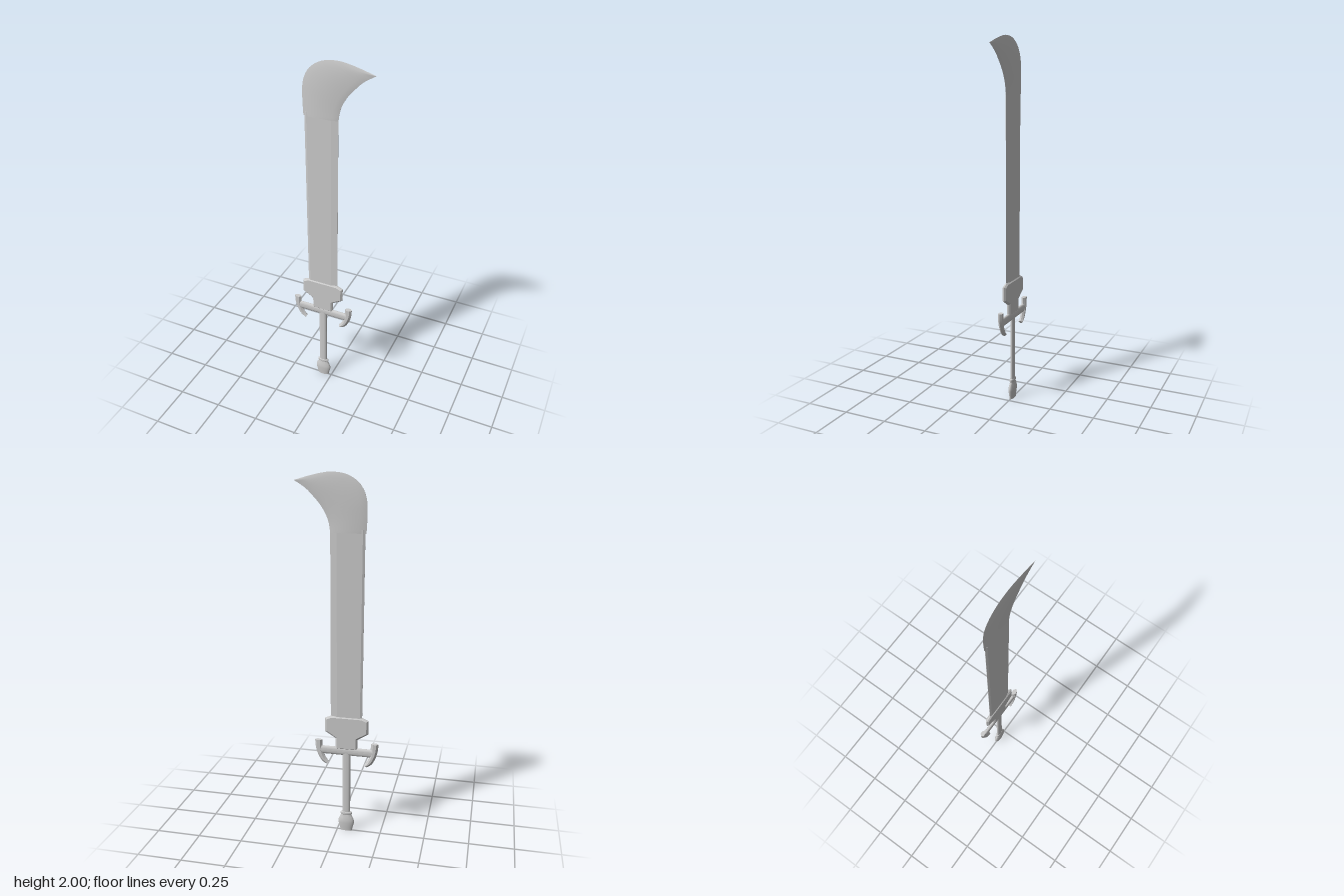
import * as THREE from 'three';
import { toCreasedNormals } from 'three/addons/utils/BufferGeometryUtils.js';

const CX = -0.052; // axis of the hilt
const steel = new THREE.MeshStandardMaterial({ color: 0xcccccc });

function add(parent, name, geometry, crease = 0.6) {
  const mesh = new THREE.Mesh(toCreasedNormals(geometry, crease), steel);
  mesh.name = name;
  parent.add(mesh);
  return mesh;
}

// Bevelled solid lofted upward; each row is [leftX, leftY, rightX, rightY, halfThickness].
// bevelL and bevelR are the widths of the sloping edges.
function loft(rows, bevelL, bevelR, edge = 0) {
  const pos = [], idx = [], n = 8;
  for (const [lx, ly, rx, ry, t] of rows) {
    const w = Math.hypot(rx - lx, ry - ly) || 1;
    const a = Math.min(bevelL / w, 0.4), b = 1 - Math.min(bevelR / w, 0.4), e = t * edge;
    for (const [k, z] of [[0, -e], [0, e], [a, t], [b, t], [1, e], [1, -e], [b, -t], [a, -t]])
      pos.push(lx + (rx - lx) * k, ly + (ry - ly) * k, z);
  }
  for (let r = 0; r < rows.length - 1; r++)
    for (let i = 0; i < n; i++) {
      const a = r * n + i, b = r * n + (i + 1) % n;
      idx.push(a, b, b + n, a, b + n, a + n);
    }
  const last = (rows.length - 1) * n;
  for (let i = 1; i < n - 1; i++) idx.push(0, i + 1, i, last, last + i, last + i + 1);
  const g = new THREE.BufferGeometry();
  g.setAttribute('position', new THREE.Float32BufferAttribute(pos, 3));
  g.setIndex(idx);
  g.computeVertexNormals();
  return g;
}

const curve = pts => new THREE.CatmullRomCurve3(pts.map(([x, y]) => new THREE.Vector3(x, y, 0)));

export function createModel() {
  const sword = new THREE.Group();
  sword.name = 'sword';

  // Long blade with a wide cutting bevel on the +x side
  add(sword, 'blade', loft([
    [-0.138, 0.6, 0.037, 0.6, 0.006],
    [-0.145, 1.72, 0.037, 1.72, 0.006],
  ], 0.012, 0.035, 0.15), 0.1);

  // Hooked end: sections swing between the outer and inner edge curves
  const outer = curve([[-0.15, 1.7], [-0.154, 1.79], [-0.148, 1.88], [-0.115, 1.945],
    [-0.05, 1.988], [0.035, 2.0], [0.125, 1.985], [0.225, 1.957]]);
  const inner = curve([[0.037, 1.7], [0.045, 1.75], [0.062, 1.795], [0.09, 1.84],
    [0.125, 1.88], [0.16, 1.915], [0.193, 1.938], [0.225, 1.957]]);
  const hook = [];
  for (let i = 0; i <= 28; i++) {
    const o = outer.getPoint(i / 28), n = inner.getPoint(i / 28);
    hook.push([o.x, o.y, n.x, n.y, 0.009 * Math.sqrt(1 - i / 28) + 0.0002]);
  }
  add(sword, 'bladeHook', loft(hook, 0.038, 0.03, 0.05), 0.5);

  // Bevelled collar with its neck, mirrored about the hilt axis
  const half = [[0.052, 0.513], [0.052, 0.575], [0.112, 0.612], [0.112, 0.68], [0.085, 0.692]];
  const outline = [...half.map(([x, y]) => [CX + x, y]),
    ...half.slice().reverse().map(([x, y]) => [CX - x, y])];
  const collar = new THREE.ExtrudeGeometry(
    new THREE.Shape(outline.map(p => new THREE.Vector2(...p))),
    { depth: 0.006, bevelEnabled: true, bevelThickness: 0.008, bevelSize: 0.009, bevelSegments: 1 });
  collar.translate(0, 0, -0.003);
  add(sword, 'collar', collar, 0.3);

  // Crossguard bar
  const bar = add(sword, 'crossguardBar', new THREE.CylinderGeometry(0.024, 0.024, 0.3, 16));
  bar.rotation.z = Math.PI / 2;
  bar.scale.z = 0.46;
  bar.position.set(CX, 0.494, 0);

  // Curved claws at both ends of the bar
  const far = curve([[0.113, 0.408], [0.14, 0.425], [0.163, 0.465], [0.176, 0.51], [0.179, 0.552]]);
  const near = curve([[0.102, 0.425], [0.118, 0.447], [0.131, 0.478], [0.138, 0.512], [0.139, 0.552]]);
  for (const side of [-1, 1]) {
    const rows = [];
    for (let i = 0; i <= 10; i++) {
      const f = far.getPoint(i / 10), n = near.getPoint(i / 10);
      const [l, r] = side < 0 ? [f, n] : [n, f];
      rows.push([CX + side * l.x, l.y, CX + side * r.x, r.y, 0.012]);
    }
    add(sword, side < 0 ? 'rightClaw' : 'leftClaw', loft(rows, 0.011, 0.011, 0.15), 0.4);
  }

  // Grip
  const grip = add(sword, 'grip', new THREE.CylinderGeometry(0.023, 0.023, 0.39, 16));
  grip.scale.z = 0.46;
  grip.position.set(CX, 0.29, 0);

  // Pommel with a small ring at its neck
  const profile = [[0, 0], [0.034, 0], [0.038, 0.02], [0.046, 0.05], [0.045, 0.065], [0.037, 0.085],
    [0.029, 0.1], [0.034, 0.104], [0.034, 0.114], [0.028, 0.119], [0, 0.119]];
  const pommel = add(sword, 'pommel',
    new THREE.LatheGeometry(profile.map(p => new THREE.Vector2(...p)), 20));
  pommel.scale.z = 0.37;
  pommel.position.x = CX;

  return sword;
}
